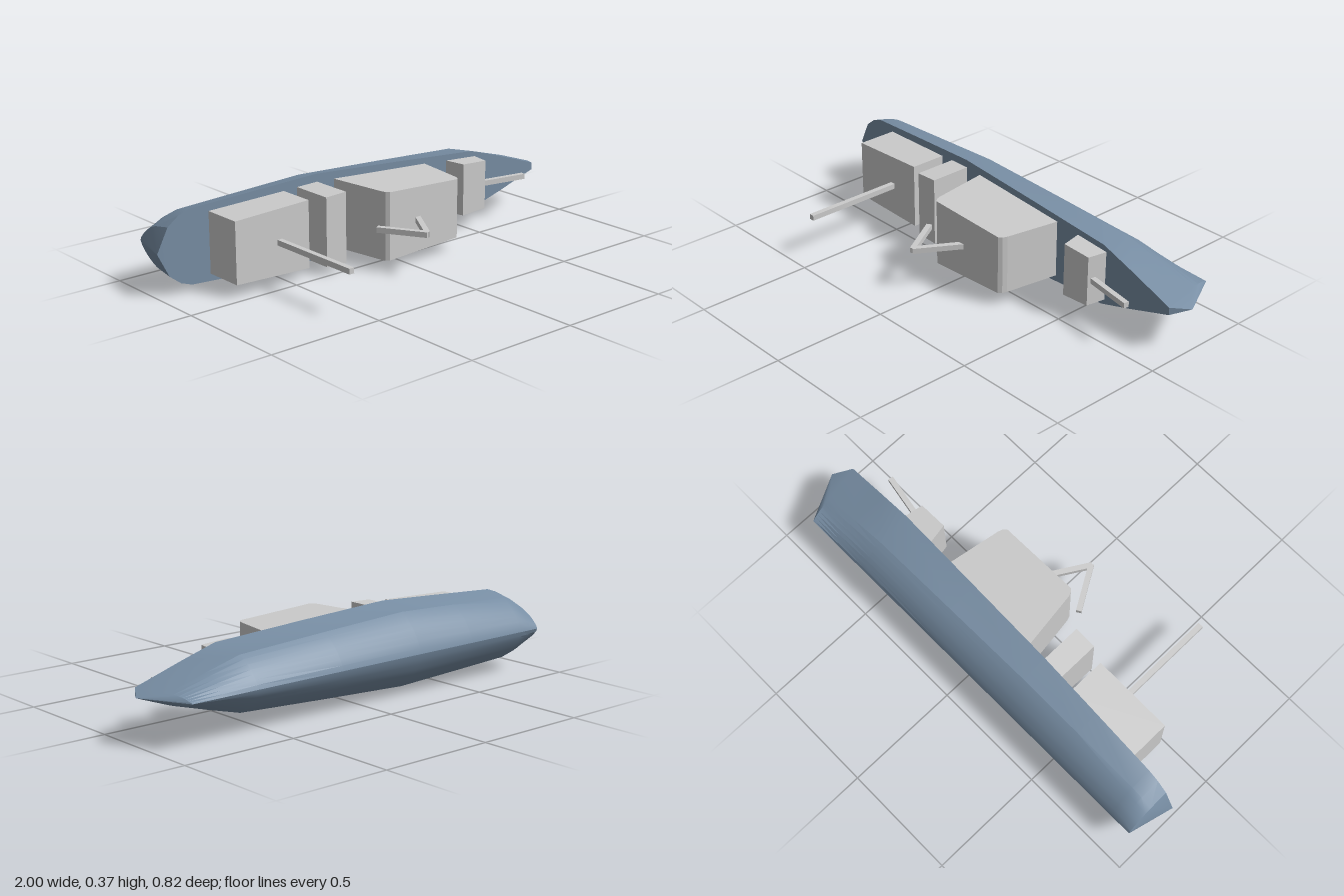
import * as THREE from 'three';
import { toCreasedNormals } from 'three/addons/utils/BufferGeometryUtils.js';

const MID = 0.19; // height of the hull's centre line
const grey = new THREE.MeshStandardMaterial({ color: 0xcccccc, flatShading: true });
const blue = new THREE.MeshStandardMaterial({ color: 0x778da3 });
const deckZ = (x) => -0.215 + (x + 1) * 0.042;

// Hull lofted along x; the deck faces +z and the keel -z
function hullGeometry() {
  // [x, half width at the deck]
  const stations = [[-0.95, 0.1], [-0.9, 0.138], [-0.85, 0.155], [-0.55, 0.17], [-0.25, 0.184],
    [0.17, 0.16], [0.59, 0.133], [0.75, 0.083], [0.95, 0.016]];
  // [fraction of the width, z] from below the deck edge to the keel
  const side = [[0.845, -0.298], [0.75, -0.323], [0.63, -0.345], [0.51, -0.364], [0.39, -0.379],
    [0.26, -0.392], [0.13, -0.404], [0, -0.41]];
  const pos = [], idx = [];
  const n = side.length * 2 + 1;
  stations.forEach(([x, w], s) => {
    const half = [[1, deckZ(x)], ...side].map(([f, z]) => {
      if (s < stations.length - 1) return [x, w * f, z];
      // raked last section at the bow
      const bx = x - 0.055 * (deckZ(x) - z) / (deckZ(x) + 0.41);
      return [bx, f * 0.133 * (1 - bx) / 0.41, z];
    });
    const other = half.slice(0, -1).reverse().map(([a, b, c]) => [a, -b, c]);
    for (const [a, b, c] of [...half, ...other]) pos.push(a, MID + b, c);
  });
  const last = (stations.length - 1) * n;
  const stern = stations.length * n, bow = stern + 1;
  pos.push(-1, MID, -0.216, 1, MID, -0.21);
  for (let k = 0; k < n; k++) {
    const m = (k + 1) % n;
    for (let i = 0; i < last; i += n) {
      const j = i + n;
      idx.push(i + k, j + k, i + m, j + k, j + m, i + m);
    }
    idx.push(stern, k, m, bow, last + m, last + k);
  }
  const g = new THREE.BufferGeometry();
  g.setAttribute('position', new THREE.Float32BufferAttribute(pos, 3));
  g.setIndex(idx);
  return toCreasedNormals(g, 0.3);
}

// Block with an (x, z) profile whose half width runs from w0 to w1 along x
function block(name, profile, w0, w1) {
  const shape = new THREE.Shape(profile.map(([x, z]) => new THREE.Vector2(x, -z)));
  const g = new THREE.ExtrudeGeometry(shape, { depth: 2, bevelEnabled: false });
  g.translate(0, 0, -1).rotateX(-Math.PI / 2);
  const xs = profile.map((p) => p[0]);
  const x0 = Math.min(...xs), x1 = Math.max(...xs);
  const p = g.attributes.position;
  for (let i = 0; i < p.count; i++) {
    p.setY(i, MID + p.getY(i) * (w0 + (w1 - w0) * (p.getX(i) - x0) / (x1 - x0)));
  }
  g.computeVertexNormals();
  const mesh = new THREE.Mesh(g, grey);
  mesh.name = name;
  return mesh;
}

// Square bar between two (x, z) points on the centre line
function bar(name, [x0, z0], [x1, z1], t = 0.023) {
  const dx = x1 - x0, dz = z1 - z0;
  const mesh = new THREE.Mesh(new THREE.BoxGeometry(Math.hypot(dx, dz), t, t), grey);
  mesh.position.set((x0 + x1) / 2, MID, (z0 + z1) / 2);
  mesh.rotation.y = Math.atan2(-dz, dx);
  mesh.name = name;
  return mesh;
}

export function createModel() {
  const group = new THREE.Group();
  group.name = 'ship';
  const hull = new THREE.Mesh(hullGeometry(), blue);
  hull.name = 'hull';
  group.add(hull);

  // Deck houses, from stern to bow, sunk slightly into the deck
  group.add(
    block('aftDeckhouse', [[-0.765, -0.22], [-0.41, -0.22], [-0.41, -0.03], [-0.765, -0.03]], 0.129, 0.142),
    block('funnelHouse', [[-0.345, -0.2], [-0.245, -0.2], [-0.245, 0], [-0.345, 0]], 0.146, 0.15),
    block('bridge', [[-0.162, -0.19], [0.325, -0.18], [0.282, 0.075], [0.275, 0.095], [0.262, 0.108],
      [-0.105, 0.108], [-0.118, 0.095], [-0.125, 0.075]], 0.147, 0.124),
    block('foreDeckhouse', [[0.44, -0.17], [0.608, -0.165], [0.59, -0.063], [0.46, -0.063]], 0.116, 0.107),
  );

  // Masts and fore spar
  group.add(
    bar('aftMast', [-0.555, -0.06], [-0.555, 0.41]),
    bar('bridgeMastAft', [-0.165, 0.098], [-0.056, 0.28]),
    bar('bridgeMastFore', [0.05, 0.098], [-0.06, 0.28]),
    bar('foreSpar', [0.56, -0.095], [0.81, -0.048]),
  );
  return group;
}
